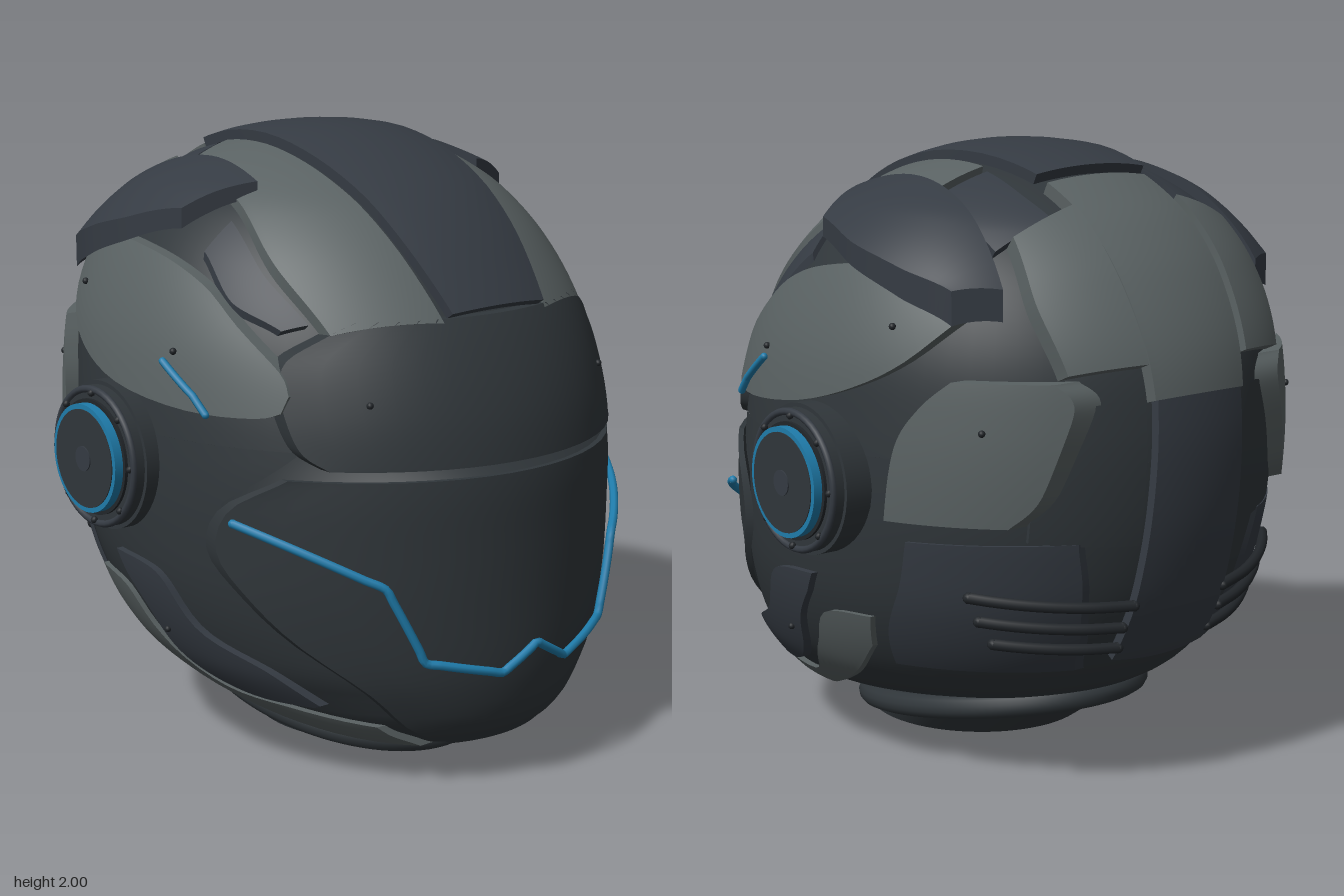
import * as THREE from 'three';
import { mergeVertices } from 'three/addons/utils/BufferGeometryUtils.js';

const mat = (name, color, side = THREE.FrontSide) => {
  const m = new THREE.MeshStandardMaterial({ color, side });
  m.name = name;
  return m;
};
const RAD = Math.PI / 180;

// Shell cross-sections: height, front z, back z, half width
const ROWS = [
  [0.09, 0.62, 0.62, 0], [0.15, 0.79, 0.0, 0.41], [0.2, 0.84, -0.3, 0.52], [0.27, 0.88, -0.57, 0.61],
  [0.4, 0.905, -0.73, 0.72], [0.6, 0.91, -0.85, 0.8], [0.8, 0.91, -0.91, 0.83], [1.0, 0.905, -0.94, 0.835],
  [1.2, 0.87, -0.945, 0.82], [1.4, 0.785, -0.915, 0.785], [1.6, 0.64, -0.82, 0.7], [1.75, 0.485, -0.69, 0.58],
  [1.84, 0.34, -0.55, 0.45], [1.91, 0.16, -0.36, 0.28], [1.943, -0.08, -0.08, 0],
].map(([y, f, b, w]) => [y, ((f - b) / 2) ** 2, w * w, (f + b) / 2]);
const LOW = ROWS[0][0], HIGH = ROWS[ROWS.length - 1][0];

// Smooth interpolation of the cross-sections: half depth, half width, centre z
function section(y) {
  let i = 0;
  while (i < ROWS.length - 2 && y > ROWS[i + 1][0]) i++;
  const h = ROWS[i + 1][0] - ROWS[i][0], t = (y - ROWS[i][0]) / h;
  const slope = (j, k) => {
    const a = ROWS[Math.max(j - 1, 0)], b = ROWS[Math.min(j + 1, ROWS.length - 1)];
    return (b[k] - a[k]) / (b[0] - a[0]);
  };
  const v = [1, 2, 3].map((k) =>
    (2 * t ** 3 - 3 * t * t + 1) * ROWS[i][k] + (t ** 3 - 2 * t * t + t) * h * slope(i, k) +
    (3 * t * t - 2 * t ** 3) * ROWS[i + 1][k] + (t ** 3 - t * t) * h * slope(i + 1, k));
  return [Math.sqrt(Math.max(v[0], 0)), Math.sqrt(Math.max(v[1], 0)), v[2]];
}

function inside(p) {
  if (p.y <= LOW || p.y >= HIGH) return false;
  const [d, w, c] = section(p.y);
  return (p.x / (w + 1e-6)) ** 2 + ((p.z - c) / (d + 1e-6)) ** 2 < 1;
}

// Put a 2D point onto the shell, swollen by off. Modes: side (z,y), front (x,y), top (x,z), arc (x,angle)
function snap(mode, a, b, off) {
  const k = 1 / (1 + off), yk = 1 + (b - 1) * k;
  const [o, d] = {
    side: () => [[0, yk, a * k], [1, 0, 0]],
    front: () => [[a * k, yk, Math.max(0, 0.6 - b)], [0, 0, 1]],
    top: () => [[a * k, 1, b * k], [0, 1, 0]],
    arc: () => [[a * k, 1, 0], [0, Math.cos(b * RAD), Math.sin(b * RAD)]],
  }[mode]().map((v) => new THREE.Vector3(...v));
  let lo = 0, hi = 1.3;
  for (let i = 0; i < 24; i++) {
    const mid = (lo + hi) / 2;
    if (inside(o.clone().addScaledVector(d, mid))) lo = mid; else hi = mid;
  }
  const p = o.addScaledVector(d, lo);
  return p.set(p.x * (1 + off), 1 + (p.y - 1) * (1 + off), p.z * (1 + off));
}

// Grid of points to an indexed geometry
function gridGeometry(nu, nv, point, flip = false) {
  const pos = [], idx = [];
  for (let i = 0; i <= nu; i++) for (let j = 0; j <= nv; j++) pos.push(...point(i / nu, j / nv).toArray());
  for (let i = 0; i < nu; i++) for (let j = 0; j < nv; j++) {
    const a = i * (nv + 1) + j, b = a + nv + 1;
    idx.push(...(flip ? [a, a + 1, b, b, a + 1, b + 1] : [a, b, a + 1, b, b + 1, a + 1]));
  }
  let g = new THREE.BufferGeometry();
  g.setAttribute('position', new THREE.Float32BufferAttribute(pos, 3));
  g.setIndex(idx);
  g = mergeVertices(g, 1e-5);
  g.computeVertexNormals();
  return g;
}

export function createModel() {
  const root = new THREE.Group();
  root.name = 'helmet';
  const shellMat = mat('shell charcoal', 0x30363a, THREE.DoubleSide);
  const panelMat = mat('panel slate', 0x353b43, THREE.DoubleSide);
  const lightMat = mat('plate grey', 0x596162, THREE.DoubleSide);
  const glowMat = mat('trim blue', 0x1f7cab);
  const darkMat = mat('rubber black', 0x22262a, THREE.DoubleSide);

  const add = (name, geometry, material, parent = root) => {
    const m = new THREE.Mesh(geometry, material);
    m.name = name;
    parent.add(m);
    return m;
  };

  // Curved plate stretched between two edges; off may be [at edge A, at edge B]
  function plate(name, material, mode, edgeA, edgeB, off, th = off - 0.003, sx = 1) {
    const curve = (e) => new THREE.SplineCurve(e.map((p) => new THREE.Vector2(...p)));
    const A = curve(edgeA), B = curve(edgeB), group = new THREE.Group();
    const [offA, offB] = [].concat(off, off);
    group.name = name;
    const at = (drop) => (u, v) => {
      const q = A.getPoint(u).lerp(B.getPoint(u), v);
      const p = snap(mode, q.x, q.y, offA + (offB - offA) * v - drop);
      p.x *= sx;
      return p;
    };
    const top = at(0), base = at(th), c = new THREE.Vector3(0, 1, 0);
    const m0 = top(0.5, 0.5), du = top(0.55, 0.5).sub(m0), dv = top(0.5, 0.55).sub(m0);
    const flip = du.cross(dv).dot(m0.clone().sub(c)) < 0;
    add(name + 'Face', gridGeometry(24, 16, top, flip), material, group);
    add(name + 'Back', gridGeometry(24, 16, base, !flip), material, group);
    const rim = (n, f, fl) => add(name + 'Edge', gridGeometry(n, 1,
      (s, t) => (t ? base : top)(...f(s)), fl), material, group);
    rim(24, (s) => [s, 0], !flip);
    rim(24, (s) => [s, 1], flip);
    rim(16, (s) => [0, s], flip);
    rim(16, (s) => [1, s], !flip);
    root.add(group);
  }
  const pair = (name, material, mode, a, b, off, th) => {
    plate('left' + name, material, mode, a, b, off, th, 1);
    plate('right' + name, material, mode, a, b, off, th, -1);
  };

  // Thin tube laid along straight runs on the shell
  function rail(name, material, mode, pts, off, radius, sx = 1) {
    const path = [];
    pts.forEach(([a, b], i) => {
      if (!i) return path.push(snap(mode, a, b, off));
      for (let k = 1; k <= 6; k++) {
        const t = k / 6;
        path.push(snap(mode, pts[i - 1][0] * (1 - t) + a * t, pts[i - 1][1] * (1 - t) + b * t, off));
      }
    });
    path.forEach((p) => { p.x *= sx; });
    add(name, new THREE.TubeGeometry(new THREE.CatmullRomCurve3(path), path.length * 3, radius, 8), material);
    for (const p of [path[0], path[path.length - 1]])
      add(name + 'End', new THREE.SphereGeometry(radius, 8, 6), material).position.copy(p);
  }

  // Shell, with the face opening left out of the lower half
  const OPEN = [[0.25, 0], [0.33, 0.5], [0.5, 0.9], [0.65, 1.08], [0.8, 1.18], [0.93, 1.15], [1.03, 0.96], [1.1, 0.85]];
  const opening = (y) => {
    if (y <= 0.25) return 0;
    const i = Math.max(1, OPEN.findIndex((o) => y <= o[0] + 1e-6));
    const [y0, a] = OPEN[i - 1], [y1, b] = OPEN[i];
    return a + (b - a) * (y - y0) / (y1 - y0);
  };
  const skin = (yOf, hole) => gridGeometry(36, 72, (u, v) => {
    const y = yOf(u), [d, w, c] = section(y), f0 = hole ? opening(y) : 0;
    const f = f0 + v * (2 * Math.PI - 2 * f0);
    return new THREE.Vector3(w * Math.sin(f), y, c + d * Math.cos(f));
  }, true);
  add('upperShell', skin((u) => 1.1 + (HIGH - 1.1) * Math.sin(u * Math.PI / 2), false), shellMat);
  add('lowerShell', skin((u) => 1.1 - (1.1 - LOW) * Math.cos(u * Math.PI / 2), true), shellMat);

  // Brow and visor
  const across = (name, rows, off, th) =>
    plate(name, shellMat, 'front', rows.map(([y, x]) => [-x, y]), rows.map(([y, x]) => [x, y]), off, th);
  across('brow', [[1.48, 0.45], [1.44, 0.53], [1.37, 0.63], [1.28, 0.66], [1.18, 0.66], [1.1, 0.64], [1.055, 0.59]], 0.035, 0.035);
  across('visor', [[1.02, 0.67], [0.92, 0.765], [0.78, 0.785], [0.65, 0.74], [0.5, 0.64], [0.33, 0.46], [0.2, 0.33], [0.13, 0.18]], 0.027, 0.02);
  const trim = [[0.78, 0.88], [0.48, 0.7], [0.37, 0.46], [0.13, 0.4], [0, 0.475]];
  const fullTrim = [...trim, ...trim.slice(0, 4).reverse().map(([x, y]) => [-x, y])];
  rail('visorTrim', glowMat, 'front', fullTrim, 0.055, 0.014);

  // Centre strips over the crown and down the back
  const strip = (name, material, rows, off, th) =>
    plate(name, material, 'arc', rows.map(([t, x]) => [-x, t]), rows.map(([t, x]) => [x, t]), off, th);
  strip('crownStrip', panelMat, [[57, 0.19], [35, 0.24], [5, 0.265], [-26, 0.22]], 0.06, 0.035);
  strip('rearStrip', lightMat, [[-28, 0.2], [-50, 0.2], [-73, 0.18]], 0.043);
  strip('lowerRearStrip', panelMat, [[-73, 0.17], [-95, 0.18], [-125, 0.19]], 0.04, 0.03);

  // Mirrored plates of the crown and back
  pair('CrownPlate', lightMat, 'arc', [[0.21, 58], [0.26, 30], [0.28, 8], [0.27, -15]],
    [[0.52, 53], [0.56, 30], [0.52, 10], [0.45, -15]], 0.035);
  pair('CrownSidePanel', panelMat, 'arc', [[0.55, 48], [0.585, 30], [0.56, 12]], [[0.61, 46], [0.67, 30], [0.65, 12]], 0.022);
  pair('CrownRearPanel', panelMat, 'arc', [[0.28, -17], [0.29, -28], [0.28, -36]], [[0.48, -17], [0.48, -28], [0.47, -38]], 0.03);
  pair('RearPlate', lightMat, 'arc', [[0.21, -36], [0.215, -50], [0.2, -67]], [[0.43, -38], [0.46, -52], [0.43, -66]], 0.058, 0.045);
  pair('BackPanel', shellMat, 'arc', [[0.19, -72], [0.19, -86], [0.19, -100]], [[0.5, -72], [0.5, -86], [0.5, -100]], 0.012);
  pair('TempleFin', panelMat, 'top', [[0.46, 0.16], [0.44, -0.1], [0.46, -0.36], [0.52, -0.66]],
    [[0.67, 0.05], [0.725, -0.18], [0.71, -0.4], [0.65, -0.58]], [0.06, 0.105], 0.045);

  // Mirrored plates of the sides and jaw
  pair('SidePlate', lightMat, 'side',
    [[0.55, 1.27], [0.51, 1.34], [0.36, 1.46], [0.2, 1.57], [-0.02, 1.64], [-0.3, 1.66], [-0.6, 1.61]],
    [[0.54, 1.22], [0.47, 1.2], [0.25, 1.2], [-0.07, 1.24], [-0.3, 1.31], [-0.46, 1.4], [-0.58, 1.53]], 0.04);
  pair('RearSidePlate', lightMat, 'side', [[-0.43, 0.92], [-0.465, 1.15], [-0.53, 1.27], [-0.61, 1.355]],
    [[-0.75, 0.92], [-0.82, 1.02], [-0.87, 1.27], [-0.83, 1.355]], 0.055);
  pair('LowerSidePanel', panelMat, 'side', [[-0.46, 0.85], [-0.42, 0.7], [-0.34, 0.54], [-0.3, 0.41]],
    [[-0.84, 0.86], [-0.82, 0.7], [-0.77, 0.54], [-0.7, 0.41]], 0.015);
  pair('UpperJawPlate', panelMat, 'side', [[0.57, 0.28], [0.46, 0.39], [0.25, 0.49], [0.14, 0.64], [0.05, 0.68], [-0.1, 0.69]],
    [[0.55, 0.27], [0.35, 0.27], [0.2, 0.31], [0.09, 0.39], [0.02, 0.52], [-0.06, 0.62]], 0.03);
  pair('LowerJawPlate', lightMat, 'side', [[0.68, 0.21], [0.45, 0.245], [0.17, 0.27], [0, 0.42], [-0.11, 0.56], [-0.3, 0.58]],
    [[0.71, 0.12], [0.45, 0.145], [0.22, 0.19], [0, 0.28], [-0.14, 0.36], [-0.26, 0.47]], 0.022);

  for (const s of [1, -1]) {
    const side = s > 0 ? 'left' : 'right';
    // Side accents, rear vent bars and bolts
    rail(side + 'Accent', glowMat, 'side', [[0.34, 1.2], [0.29, 1.25], [0.16, 1.34]], 0.06, 0.012, s);
    for (let i = 0; i < 3; i++)
      rail(side + 'VentBar', darkMat, 'side', [[-0.62 - 0.005 * i, 0.69 - 0.08 * i], [-0.88 + 0.035 * i, 0.645 - 0.075 * i]], 0.035, 0.018, s);
    for (const [mode, a, b, off] of [['side', 0.18, 1.37, 0.045], ['side', -0.4, 1.5, 0.045], ['side', -0.7, 1.21, 0.06],
      ['side', 0.1, 0.46, 0.035], ['front', 0.48, 1.25, 0.038]]) {
      const p = snap(mode, a, b, off);
      add(side + 'Bolt', new THREE.SphereGeometry(0.011, 10, 8), darkMat).position.set(p.x * s, p.y, p.z);
    }
    // Ear pod of stacked discs
    const pod = new THREE.Group();
    pod.name = side + 'EarPod';
    pod.position.set(0, 1, -0.11);
    pod.rotation.z = -s * Math.PI / 2;
    root.add(pod);
    const disc = (name, r, h0, h1, m) => {
      add(name, new THREE.CylinderGeometry(r, r, h1 - h0, 48), m, pod).position.y = (h0 + h1) / 2;
    };
    const ring = (name, r, t, h, m) => {
      const o = add(name, new THREE.TorusGeometry(r, t, 8, 48), m, pod);
      o.rotation.x = Math.PI / 2;
      o.position.y = h;
    };
    disc('podBase', 0.238, 0.76, 0.87, shellMat);
    disc('podStep', 0.225, 0.87, 0.905, shellMat);
    ring('podRim', 0.215, 0.012, 0.903, panelMat);
    disc('podCollar', 0.185, 0.9, 0.915, darkMat);
    disc('podGlow', 0.173, 0.9, 0.944, glowMat);
    disc('podHub', 0.157, 0.9, 0.947, shellMat);
    disc('podCap', 0.04, 0.94, 0.951, panelMat);
    for (let i = 0; i < 8; i++) {
      const a = (i / 8) * Math.PI * 2;
      add('podBolt', new THREE.SphereGeometry(0.012, 8, 6), darkMat, pod)
        .position.set(0.205 * Math.cos(a), 0.912, 0.205 * Math.sin(a));
    }
  }

  // Tilted neck roll and the skirt under it
  const oval = (rx, rz, z, y, tilt) => (f) =>
    new THREE.Vector3(rx * Math.sin(f), y - tilt * rz * Math.cos(f), z + rz * Math.cos(f));
  const roll = oval(0.4, 0.53, 0, 0.14, 0.185);
  const rollPath = Array.from({ length: 48 }, (_, i) => roll((i / 48) * Math.PI * 2));
  add('neckRoll', new THREE.TubeGeometry(new THREE.CatmullRomCurve3(rollPath, true), 96, 0.04, 12, true), shellMat);
  const loft = (name, a, b, m) => add(name, gridGeometry(4, 64,
    (u, v) => a(v * Math.PI * 2).lerp(b(v * Math.PI * 2), u)), m);
  const lip = oval(0.36, 0.385, 0.13, 0.045, 0.01), bore = oval(0.33, 0.35, 0.125, 0.05, 0.01);
  const deep = oval(0.32, 0.34, 0.11, 0.11, 0.05);
  loft('neckSkirt', roll, lip, shellMat);
  loft('neckLip', lip, bore, darkMat);
  loft('neckBore', bore, deep, shellMat);
  loft('neckLining', deep, oval(0, 0, 0.1, 0.12, 0), panelMat);

  return root;
}
